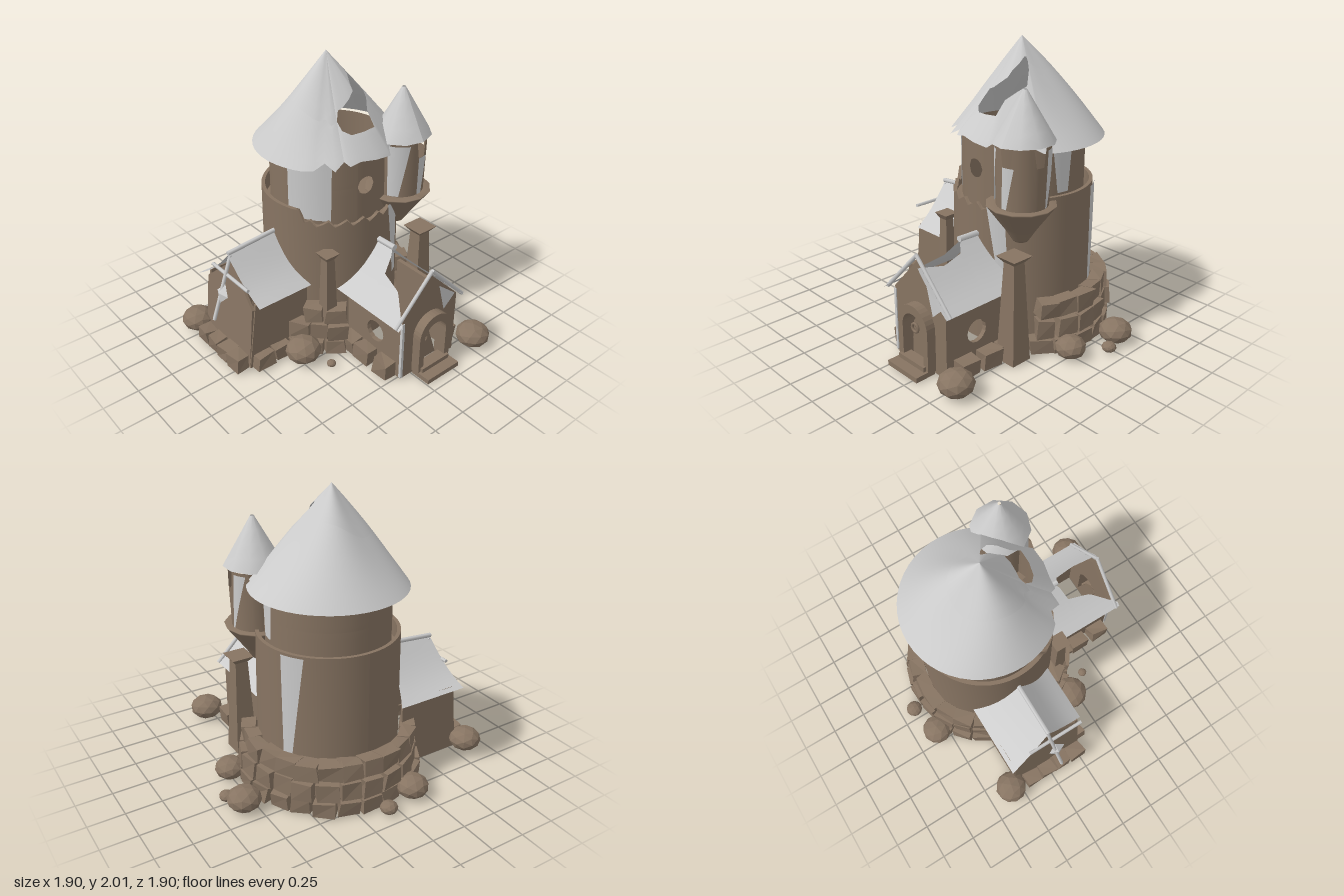
import * as THREE from 'three';

const brown = new THREE.MeshStandardMaterial({ color: 0x877462, side: THREE.DoubleSide });
const stone = new THREE.MeshStandardMaterial({ color: 0x877462, flatShading: true });
const grey = new THREE.MeshStandardMaterial({ color: 0xcccccc, side: THREE.DoubleSide });
const rad = Math.PI / 180;
const V = (x, y, z) => new THREE.Vector3(x, y, z);

let seed = 7;
const rnd = () => (seed = (seed * 16807) % 2147483647) / 2147483647;
const jit = (s) => (rnd() - 0.5) * 2 * s;
// Triangle wave from -1 to 1
const zigzag = (t) => Math.asin(Math.sin(t)) * 2 / Math.PI;

// Piecewise linear lookup in [[x, y], ...]
function lerpTable(t, x) {
  if (x <= t[0][0]) return t[0][1];
  for (let i = 1; i < t.length; i++) {
    const [a, p] = t[i - 1], [b, q] = t[i];
    if (x <= b) return p + (q - p) * (x - a) / (b - a);
  }
  return t[t.length - 1][1];
}

export function createModel() {
  const root = new THREE.Group();
  const add = (name, geo, mat, x = 0, y = 0, z = 0) => {
    const m = new THREE.Mesh(geo, mat);
    m.name = name;
    m.position.set(x, y, z);
    root.add(m);
    return m;
  };

  // Surface through columns; fn(column, v) gives a point
  const loft = (name, mat, cols, rows, fn) => {
    const pos = [], idx = [], n = rows + 1;
    cols.forEach((c, i) => {
      for (let j = 0; j <= rows; j++) {
        pos.push(...fn(c, j / rows));
        if (i && j) {
          const a = (i - 1) * n + j - 1, b = a + n;
          idx.push(a, a + 1, b, b, a + 1, b + 1);
        }
      }
    });
    const g = new THREE.BufferGeometry();
    g.setAttribute('position', new THREE.Float32BufferAttribute(pos, 3));
    g.setIndex(idx);
    g.computeVertexNormals();
    return add(name, g, mat);
  };
  const range = (a, b, n) => Array.from({ length: n + 1 }, (_, i) => a + (b - a) * i / n);
  const polar = (cx, cz, r, deg, y) => [cx + r * Math.sin(deg * rad), y, cz + r * Math.cos(deg * rad)];

  // Full turn with an opening: cols are [angle, openingStart, openingEnd], as fractions of the height
  const holed = (name, mat, hole, fn) => {
    const first = hole[0], last = hole[hole.length - 1], span = first[0] + 360 - last[0];
    const rest = range(0, 1, 36).map((u) => {
      const m = last[1] + (first[1] - last[1]) * u;
      return [last[0] + span * u, m, m];
    });
    const cols = [...hole, ...rest.slice(1)];
    loft(name + 'Upper', mat, cols, 5, (c, v) => fn(c[0], c[1] * v));
    loft(name + 'Lower', mat, cols, 5, (c, v) => fn(c[0], c[2] + (1 - c[2]) * v));
  };
  // Light wedge on a round wall
  const stripe = (cx, cz, r, y0, y1, b0, b1, t0, t1) =>
    loft('plasterStripe', grey, range(0, 1, 6), 6, (u, v) =>
      polar(cx, cz, r, (b0 + (b1 - b0) * u) * (1 - v) + (t0 + (t1 - t0) * u) * v, y0 + (y1 - y0) * v));
  const beam = (name, mat, a, b, r) => {
    const d = b.clone().sub(a);
    const m = add(name, new THREE.CylinderGeometry(r, r, d.length(), 6), mat);
    m.position.copy(a).add(b).multiplyScalar(0.5);
    m.quaternion.setFromUnitVectors(V(0, 1, 0), d.normalize());
    return m;
  };
  const shapeOf = (pts) => new THREE.Shape(pts.map((p) => new THREE.Vector2(...p)));
  const slab = (shape, depth) => new THREE.ExtrudeGeometry(shape, { depth, bevelEnabled: false, curveSegments: 8 });

  // Main tower
  const TX = 0.095, TZ = -0.2;
  const turn = range(-180, 180, 72);
  const rim = (a) => (a > -65 && a < 22 ? 0.965 + 0.035 * zigzag(a * 0.42) : 1.05);
  loft('towerWall', brown, turn, 3, (a, v) => polar(TX, TZ, 0.485 - 0.01 * v, a, rim(a) * v));
  loft('parapetRim', brown, turn, 1, (a, v) => polar(TX, TZ, 0.475 - 0.025 * v, a, rim(a)));
  loft('parapetInside', brown, turn, 1, (a, v) => polar(TX, TZ, 0.45, a, 0.92 + (rim(a) - 0.92) * v));
  loft('upperFloor', brown, turn, 1, (a, v) => polar(TX, TZ, 0.46 * v, a, 0.93));
  const windowHole = range(-13, 5, 8).map((a, i) => {
    const h = 0.13 * Math.sqrt(Math.max(0, 1 - ((i - 4) / 4) ** 2));
    return [a, 0.44 - h, 0.44 + h];
  });
  holed('upperTower', brown, windowHole, (a, t) => polar(TX, TZ, 0.415, a, 1.4 - 0.48 * t));
  stripe(TX, TZ, 0.485, 0.4, 1.0, 27, 34, 15, 30);
  stripe(TX, TZ, 0.487, 0.35, 1.04, 112, 120, 111, 130);
  stripe(TX, TZ, 0.42, 0.96, 1.39, -80, -38, -80, -37);
  stripe(TX, TZ, 0.42, 1.05, 1.39, 76, 88, 70, 92);

  // Conical roof with a broken hole and a ragged front edge; hole radii measured in plan
  const roofHole = [[-27, 0.31, 0.31], [-23, 0.25, 0.34], [-14, 0.25, 0.38], [0, 0.23, 0.38], [14, 0.21, 0.38],
    [19, 0.19, 0.33], [35, 0.15, 0.29], [48, 0.11, 0.25], [56, 0.1, 0.16], [58, 0.12, 0.12]]
    .map(([a, p, q]) => [a, p / 0.51, q / 0.51]);
  holed('mainRoof', grey, roofHole, (a, t) => {
    const w = ((a + 540) % 360) - 180;
    const ragged = Math.abs(w) < 55 ? 0.03 + 0.03 * zigzag(w * 0.4) : 0;
    const r = t * (0.52 - ragged);
    const y = 2 - 0.64 * t + 0.03 * Math.sin(Math.PI * t) * Math.sin(3 * a * rad) + ragged * 0.8 * t;
    return polar(0.07 + 0.035 * t, -0.2 - 0.02 * t, r, a, y);
  });

  // Corner turret
  const UX = 0.43, UZ = 0.15;
  const top = (a) => (((a + 360) % 72) < 22 ? 1.31 : 1.43);
  loft('turretWall', brown, range(0, 360, 60), 2, (a, v) => polar(UX, UZ, 0.168 + 0.01 * v, a, 1.03 + (top(a) - 1.03) * v));
  const corbel = [[0, 0], [0.05, 0.05], [0.35, 0.105], [0.95, 0.23], [1, 0.16]];
  loft('turretCorbel', brown, range(0, 360, 12), 20, (a, v) =>
    polar(UX - 0.01, UZ, lerpTable(corbel, v), a, 0.76 + 0.27 * Math.min(1, v / 0.95)));
  loft('turretRoof', grey, range(0, 360, 10), 4, (a, v) =>
    polar(UX + 0.01, UZ, 0.012 + 0.19 * v, a, 1.765 - 0.33 * v + 0.01 * v * Math.sin(a * rad)));
  stripe(UX, UZ, 0.18, 1.04, 1.41, -70, -45, -72, -22);
  stripe(UX, UZ, 0.18, 1.04, 1.31, -2, 10, 0, 26);
  stripe(UX, UZ, 0.18, 1.04, 1.41, 95, 100, 102, 132);

  // Front house: gable with arched doorway, side walls with round windows
  const arch = (w, h, C) => {
    const s = new C();
    s.moveTo(-w, 0.02);
    s.lineTo(-w, h - w);
    s.absarc(0, h - w, w, Math.PI, 0, true);
    s.lineTo(w, 0.02);
    s.closePath();
    return s;
  };
  const HX = 0.14;
  const gable = shapeOf([[-0.24, 0], [0.26, 0], [0.26, 0.48], [0, 0.74], [-0.24, 0.48]]);
  gable.holes.push(arch(0.11, 0.39, THREE.Path));
  add('houseFront', slab(gable, 0.03), brown, HX, 0, 0.745);
  const frame = arch(0.145, 0.45, THREE.Shape);
  frame.holes.push(arch(0.1, 0.39, THREE.Path));
  add('doorFrame', slab(frame, 0.08), brown, HX + 0.01, 0, 0.76);
  add('brokenDoor', slab(shapeOf([[-0.11, 0.04], [0.11, 0.04], [0.03, 0.27], [-0.03, 0.34], [-0.08, 0.28]]), 0.02), brown, HX, 0, 0.735);
  add('doorRing', new THREE.TorusGeometry(0.03, 0.01, 6, 10), brown, 0.1, 0.25, 0.78);
  add('gablePlaster', new THREE.ShapeGeometry(shapeOf([[0.08, 0.62], [0.14, 0.4], [0.24, 0.49]])), grey, HX, 0, 0.778);
  add('cornerPlaster', new THREE.BoxGeometry(0.02, 0.45, 0.02), grey, -0.095, 0.235, 0.772);
  for (const x of [-0.07, 0.4]) {
    const side = shapeOf([[0.23, 0], [0.77, 0], [0.77, 0.47], [0.23, 0.47]]);
    side.holes.push(new THREE.Path().absarc(0.52, 0.25, 0.08, 0, Math.PI * 2, true));
    add('houseSide', slab(side, 0.03), brown, x, 0, 0).rotation.y = -Math.PI / 2;
  }
  add('lowerStep', new THREE.BoxGeometry(0.29, 0.035, 0.15), stone, 0.15, 0.018, 0.86);
  add('upperStep', new THREE.BoxGeometry(0.25, 0.035, 0.08), stone, 0.15, 0.05, 0.82);

  // House roof, broken open along the ridge towards the front
  const inner = {
    1: [[0.43, 0], [0.45, 0.05], [0.62, 0.075], [0.8, 0.045]],
    '-1': [[0.43, 0], [0.45, 0.11], [0.63, 0.15], [0.74, 0.23], [0.8, 0.28]],
  };
  for (const s of [1, -1]) {
    loft('houseRoof', grey, range(0.17, 0.81, 24), 5, (z, v) => {
      const d0 = lerpTable(inner[s], z), d = d0 + (0.31 - d0) * v;
      return [HX + s * d, 0.765 - d * 1.0 - 0.02 * Math.sin(Math.PI * d / 0.31), z];
    });
    beam('gableRafter', grey, V(HX, 0.775, 0.78), V(HX + s * 0.31, 0.455, 0.78), 0.014);
  }
  beam('houseRidge', grey, V(HX, 0.77, 0.26), V(HX, 0.775, 0.43), 0.022);

  // Side wing: roof ridge runs along x, end wall leans inwards
  const ridgeY = (x) => lerpTable([[-0.8, 0.76], [-0.3, 0.81]], x);
  for (const z of [0.04, -0.5]) {
    add('wingWall', slab(shapeOf([[-0.81, 0], [-0.31, 0], [-0.31, 0.5], [-0.74, 0.5]]), 0.02), brown, 0, 0, z - 0.01);
  }
  const end = add('wingEnd', slab(shapeOf([[-0.5, 0], [0.04, 0], [0.04, 0.46], [-0.22, 0.71], [-0.5, 0.46]]), 0.02), brown, -0.79, 0, 0);
  end.rotation.set(0, -Math.PI / 2, -0.1, 'ZYX');
  for (const [s, w, xa, xb] of [[1, 0.3, -0.73, -0.3], [-1, 0.32, -0.82, -0.28]]) {
    loft('wingRoof', grey, range(0, 1, 8), 6, (u, v) => {
      const x = (-0.76 + (xa + 0.76) * v) * (1 - u) + (-0.38 + (xb + 0.38) * v * v) * u;
      return [x, ridgeY(x) * (1 - v) + 0.48 * v - 0.03 * Math.sin(Math.PI * v), -0.22 + s * w * v];
    });
  }
  beam('wingRidge', grey, V(-0.76, 0.78, -0.22), V(-0.36, 0.815, -0.22), 0.016);
  // Gable ornament: leaning pole, cross bar and a hanging plate
  beam('leaningPole', grey, V(-0.92, 0.33, -0.19), V(-0.74, 0.76, -0.22), 0.013);
  beam('crossBar', grey, V(-0.785, 0.63, -0.38), V(-0.785, 0.63, 0.04), 0.013);
  const hanging = add('hangingPlate', new THREE.OctahedronGeometry(0.07), grey, -0.84, 0.51, -0.19);
  hanging.scale.set(0.4, 1, 0.9);
  hanging.rotation.z = -0.4;

  // Tapered chimneys with flared caps
  const chimney = (x, z, h, s) => {
    const parts = [[0.065 * s, 0.11 * s, h - 0.04, (h - 0.04) / 2], [0.115 * s, 0.07 * s, 0.04, h - 0.02]];
    for (const [rt, rb, len, y] of parts) {
      add('chimney', new THREE.CylinderGeometry(rt, rb, len, 4), stone, x, y, z).rotation.y = Math.PI / 4;
    }
  };
  chimney(0.51, 0.3, 0.74, 1);
  chimney(-0.25, 0.2, 0.78, 0.7);

  // Foundation stones: boxes with every corner nudged
  const block = (x, y, z, w, h, d, turnY) => {
    const g = new THREE.BoxGeometry(w, h, d), p = g.attributes.position, nudge = {};
    for (let i = 0; i < p.count; i++) {
      const key = [p.getX(i), p.getY(i), p.getZ(i)].map(Math.sign).join();
      nudge[key] ??= [jit(0.012), jit(0.008), jit(0.012)];
      p.setXYZ(i, p.getX(i) + nudge[key][0], p.getY(i) + nudge[key][1], p.getZ(i) + nudge[key][2]);
    }
    add('foundationStone', g, stone, x, y, z).rotation.y = turnY;
  };
  [[0.055, 0.1, 0.575], [0.175, 0.125, 0.56], [0.3, 0.11, 0.54]].forEach(([y, h, r], k) => {
    for (const [from, to] of [[50 + k * 3, 242], [-74 + k * 8, -28]]) {
      const n = Math.round((to - from) / 14.5);
      for (let i = 0; i < n; i++) {
        const a = from + (i + 0.5) * (to - from) / n;
        const [x, , z] = polar(TX, TZ, r + jit(0.012), a, 0);
        block(x, y, z, 0.14 + jit(0.012), h, 0.1, a * rad);
      }
    }
  });
  // Stones along the wing and the house
  for (const z of range(-0.4, -0.02, 3)) block(-0.86, 0.055, z, 0.1, 0.1, 0.115, 0);
  for (const x of range(-0.72, -0.42, 2)) block(x, 0.055, 0.07, 0.13, 0.1, 0.09, 0);
  for (const z of [0.33, 0.48, 0.66]) {
    block(-0.14, 0.06, z, 0.1, 0.11, 0.14, 0);
    block(0.45, 0.06, z - 0.02, 0.1, 0.11, 0.14, 0);
  }

  // Loose boulders
  for (const [x, z, r] of [[-0.17, -0.82, 0.11], [0.07, -0.89, 0.06], [-0.84, -0.57, 0.115], [0.83, -0.36, 0.115],
    [0.89, -0.22, 0.05], [0.75, 0.01, 0.105], [-0.47, 0.2, 0.125], [-0.37, 0.38, 0.033], [0.55, 0.83, 0.12]]) {
    const b = add('boulder', new THREE.IcosahedronGeometry(r, 1), stone, x, r * 0.68, z);
    b.scale.y = 0.72;
    b.rotation.y = rnd() * 3;
  }
  return root;
}
